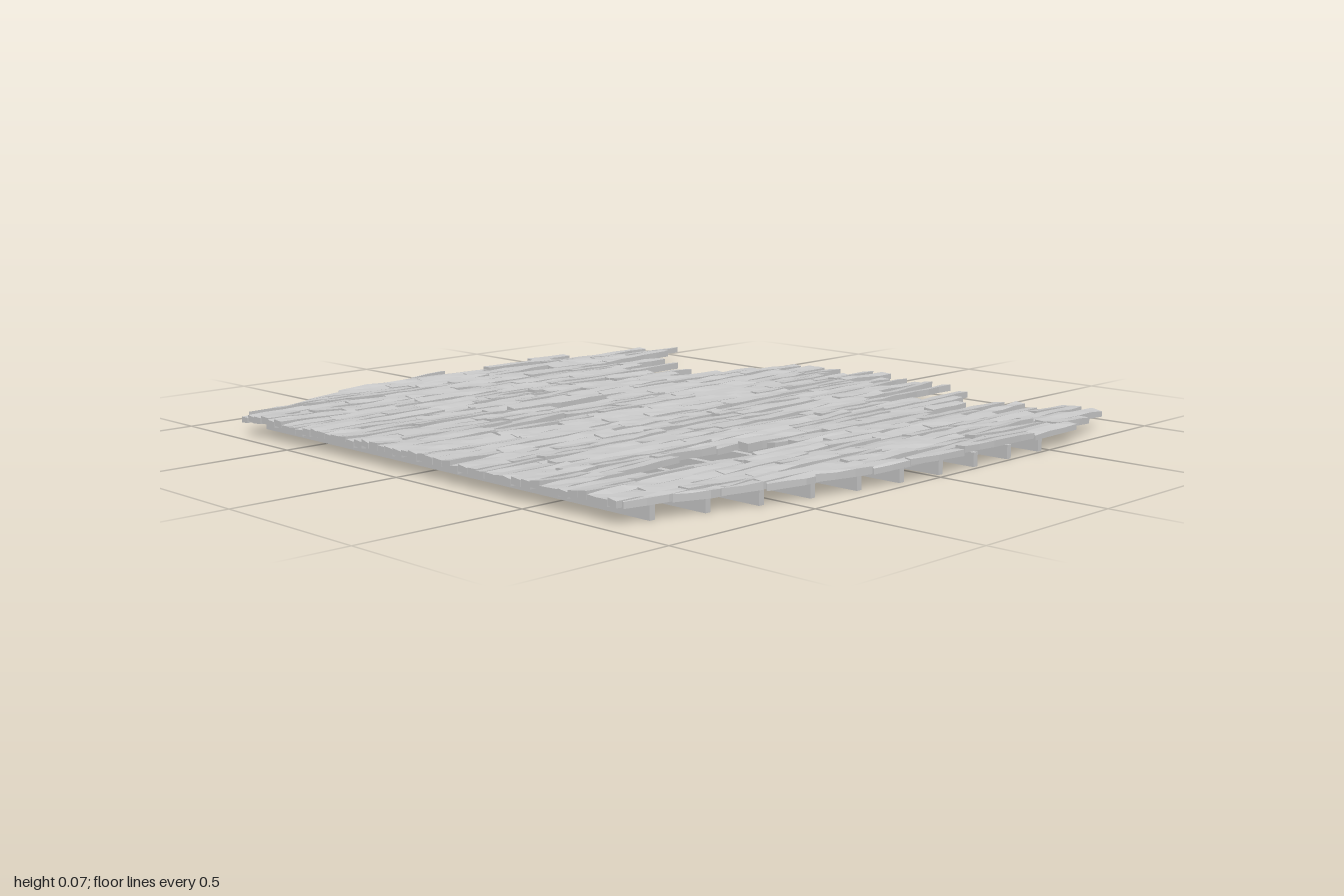
import * as THREE from 'three';
import { mergeGeometries } from 'three/addons/utils/BufferGeometryUtils.js';

const PITCH = 0.0344;
const FRONT = 0.96;

// Broken back end (-z, in hundredths) of each plank row, from -x to +x
const BACK = [
  48, 38, 61, 75, 88, 61, 76, 33, 49, 64, 50, 40, 60, 37, 42, 56, 47, 41, 61, 74,
  33, 88, 76, 88, 88, 92, 83, 76, 85, 92, 97, 76, 88, 77, 88, 75, 88, 88, 52, 88,
  55, 64, 83, 76, 60, 68, 47, 78, 62, 79, 61, 75, 88, 88, 76, 88, 76, 64,
];

// Missing boards: row -> [from z, to z]
const HOLES = {
  0: [-0.31, 0.07], 2: [-0.31, -0.05], 21: [0, 0.22], 22: [0.03, 0.33],
  44: [0.25, 0.51], 45: [0.18, 0.74], 46: [0.13, 0.68],
};

// Half width of the deck along z
const OUTLINE = [[-1, 1], [-0.3, 1], [0, 0.99], [0.2, 0.97], [0.4, 0.935], [0.6, 0.885], [0.8, 0.83], [0.97, 0.785]];
function halfWidth(z) {
  for (let i = 1; i < OUTLINE.length; i++) {
    const [z0, w0] = OUTLINE[i - 1], [z1, w1] = OUTLINE[i];
    if (z <= z1) return w0 + (w1 - w0) * (z - z0) / (z1 - z0);
  }
  return 0.785;
}

let seed = 7;
function random(min, max) {
  seed = (seed * 1664525 + 1013904223) % 4294967296;
  return min + (max - min) * seed / 4294967296;
}

// One worn board with ragged edges, trimmed to the deck outline
function boardGeometry(x, z0, z1) {
  const length = z1 - z0;
  const steps = Math.max(2, Math.round(length / 0.06));
  const width = PITCH * random(0.9, 1.06);
  const thickness = random(0.016, 0.021);
  const y = random(0.046, 0.052);
  const pitch = random(-0.004, 0.004);
  const roll = random(-0.0025, 0.0025);
  const wear = Array.from({ length: steps + 1 }, () =>
    [random(-0.002, 0.002), random(-0.002, 0.002), random(-0.0025, 0.0015), random(-0.0025, 0.0015)]);
  const geo = new THREE.BoxGeometry(width, thickness, length, 1, 1, steps);
  const pos = geo.attributes.position;
  for (let i = 0; i < pos.count; i++) {
    const px = pos.getX(i), py = pos.getY(i), pz = pos.getZ(i);
    const t = pz / length + 0.5;
    const w = wear[Math.round(t * steps)];
    const side = px > 0 ? 1 : 0;
    const z = pz + (z0 + z1) / 2;
    const limit = halfWidth(z);
    pos.setXYZ(i,
      THREE.MathUtils.clamp(x + px + w[side], -limit, limit),
      y + py + pitch * (2 * t - 1) + (side ? roll : -roll) + (py > 0 ? w[2 + side] : 0),
      z);
  }
  geo.computeVertexNormals();
  return geo;
}

export function createModel() {
  const group = new THREE.Group();
  const material = new THREE.MeshStandardMaterial({ color: 0xcccccc, flatShading: true });

  // Deck: rows of butted boards of varying length
  const deck = new THREE.Group();
  deck.name = 'deckPlanks';
  BACK.forEach((back, row) => {
    const x = (row - 28.55) * PITCH;
    const inner = Math.abs(x) - PITCH / 2;
    let end = FRONT;
    while (halfWidth(end) < inner + 0.002) end -= 0.005;
    const start = -back / 100;
    const hole = HOLES[row];
    const runs = hole ? [[start, hole[0]], [hole[1], end]] : [[start, end]];
    const boards = [];
    for (const [from, to] of runs) {
      let z = from;
      while (to - z > 0.01) {
        let next = z + random(0.16, 0.42);
        if (to - next < 0.1) next = to;
        boards.push(boardGeometry(x, z, next - random(0, 0.004)));
        z = next;
      }
    }
    const mesh = new THREE.Mesh(mergeGeometries(boards), material);
    mesh.name = 'plankRow' + (row + 1);
    deck.add(mesh);
  });
  group.add(deck);

  // Cross beams under the deck
  const beams = new THREE.Group();
  beams.name = 'crossBeams';
  for (let i = 0; i < 10; i++) {
    const z = -0.467 + i * 0.1473;
    const beam = new THREE.Mesh(
      new THREE.BoxGeometry(2 * halfWidth(z) - 0.02, 0.039, 0.018), material);
    beam.position.set(0, 0.0195, z);
    beam.name = 'crossBeam' + (i + 1);
    beams.add(beam);
  }
  group.add(beams);

  return group;
}
